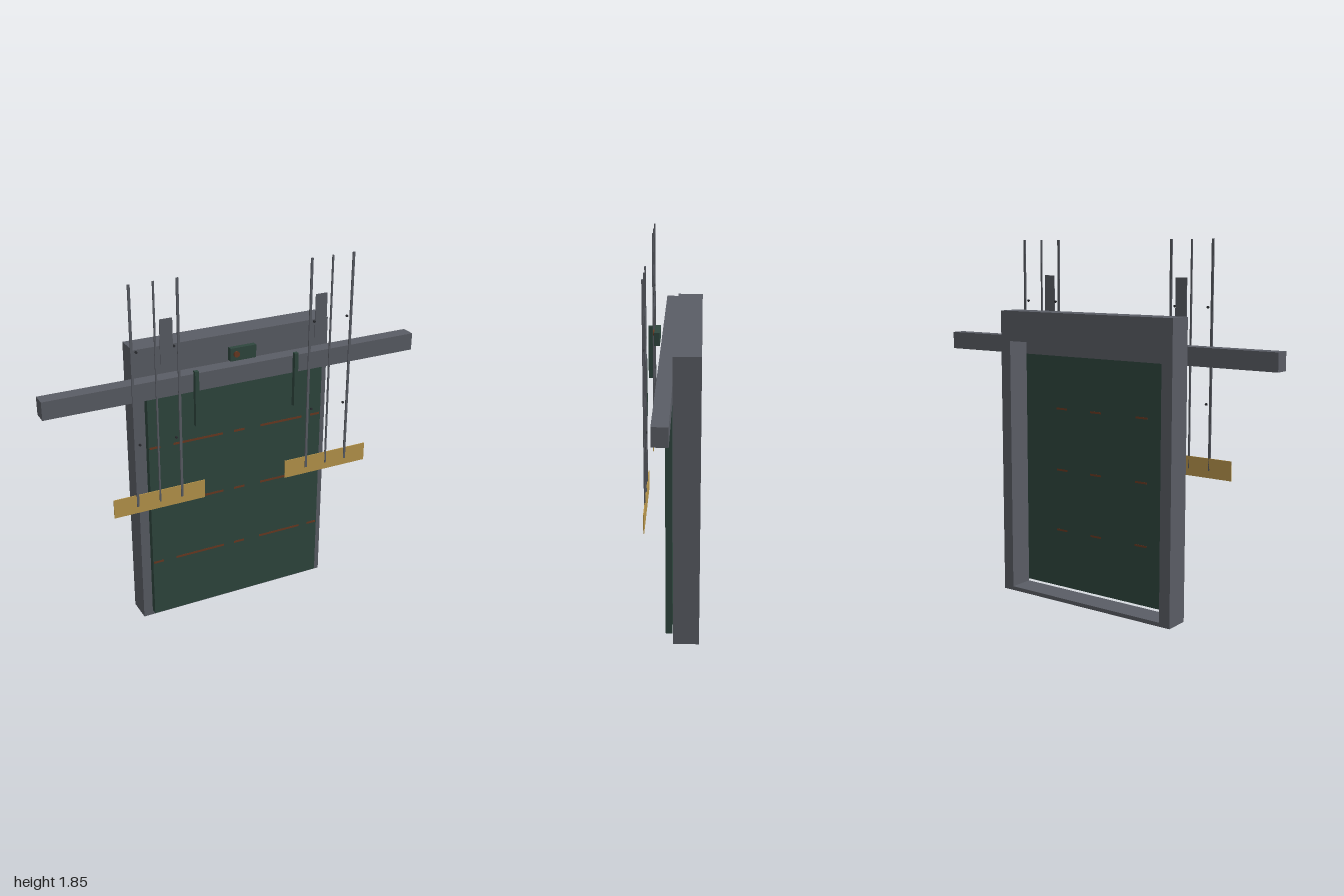
import * as THREE from 'three';

const material = (name, color) => {
  const m = new THREE.MeshStandardMaterial({ color });
  m.name = name;
  return m;
};

export function createModel() {
  const steel = material('grey steel', 0x5a5d65);
  const green = material('dark green paint', 0x2f463e);
  const brass = material('brass yellow', 0xb8964c);
  const rust = material('rust brown', 0x6a3a22);
  const dark = material('dark bolt', 0x2b2d31);

  const model = new THREE.Group();
  model.name = 'slidingGate';

  // Box given by its lower and upper limits on each axis
  const box = (name, mat, x0, x1, y0, y1, z0, z1, parent = model) => {
    const mesh = new THREE.Mesh(new THREE.BoxGeometry(x1 - x0, y1 - y0, z1 - z0), mat);
    mesh.position.set((x0 + x1) / 2, (y0 + y1) / 2, (z0 + z1) / 2);
    mesh.name = name;
    parent.add(mesh);
    return mesh;
  };

  // Short round part facing the front
  const disc = (name, mat, r, depth, x, y, z, parent = model) => {
    const mesh = new THREE.Mesh(new THREE.CylinderGeometry(r, r, depth, 16), mat);
    mesh.rotation.x = Math.PI / 2;
    mesh.position.set(x, y, z);
    mesh.name = name;
    parent.add(mesh);
  };

  // Door frame with its opening
  const outline = new THREE.Shape();
  outline.moveTo(-0.527, 0).lineTo(0.527, 0).lineTo(0.527, 1.49).lineTo(-0.527, 1.49).closePath();
  const opening = new THREE.Path();
  opening.moveTo(-0.467, 0.02).lineTo(-0.467, 1.335).lineTo(0.467, 1.335).lineTo(0.467, 0.02).closePath();
  outline.holes.push(opening);
  const frame = new THREE.Mesh(
    new THREE.ExtrudeGeometry(outline, { depth: 0.129, bevelEnabled: false }), steel);
  frame.position.z = -0.138;
  frame.name = 'doorFrame';
  model.add(frame);

  // Overhead beam and door leaf
  box('overheadBeam', steel, -1, 1, 1.26, 1.35, -0.007, 0.067);
  box('doorLeaf', green, -0.48, 0.48, 0.03, 1.262, -0.005, 0.028);

  // Broken rust lines across both faces of the leaf
  const dashes = [[-0.475, -0.42], [-0.35, -0.08], [-0.02, 0.04], [0.13, 0.37], [0.42, 0.475]];
  for (const y of [0.338, 0.662, 0.986]) {
    for (const [a, b] of dashes) {
      box('frontRustLine', rust, a, b, y - 0.006, y + 0.006, 0.027, 0.0285);
    }
    for (const a of [-0.3, -0.02, 0.2]) {
      box('backRustLine', rust, a, a + 0.07, y - 0.005, y + 0.005, -0.0055, -0.0045);
    }
  }

  // Control box with its button
  box('controlBox', green, -0.07, 0.067, 1.39, 1.455, 0.067, 0.094);
  disc('controlButton', rust, 0.015, 0.01, -0.04, 1.424, 0.098);

  // Hanging rod sets, one on each side
  for (const side of [-1, 1]) {
    const set = new THREE.Group();
    set.name = side > 0 ? 'leftHanger' : 'rightHanger';
    model.add(set);
    const cx = side * 0.465;

    box('footPlate', brass, cx - 0.239, cx + 0.239, 0.705, 0.802, 0.115, 0.119, set);
    for (const i of [-1, 0, 1]) {
      const x = cx + i * 0.116;
      const w = i ? 0.006 : 0.004;
      box('rod', steel, x - w, x + w, 0.74, 1.85, 0.115, 0.1215, set);
    }
    for (const y of [1.065, 1.53]) {
      for (const dx of [-0.093, 0.093]) disc('bolt', dark, 0.006, 0.008, cx + dx, y, 0.118, set);
    }

    const px = side * 0.409;
    box('upperPlate', steel, px - 0.032, px + 0.032, 1.44, 1.667, 0.115, 0.119, set);
    const hx = side * 0.267;
    box('handleBar', green, hx - 0.01, hx + 0.01, 1.11, 1.39, 0.117, 0.139, set);
  }

  return model;
}
